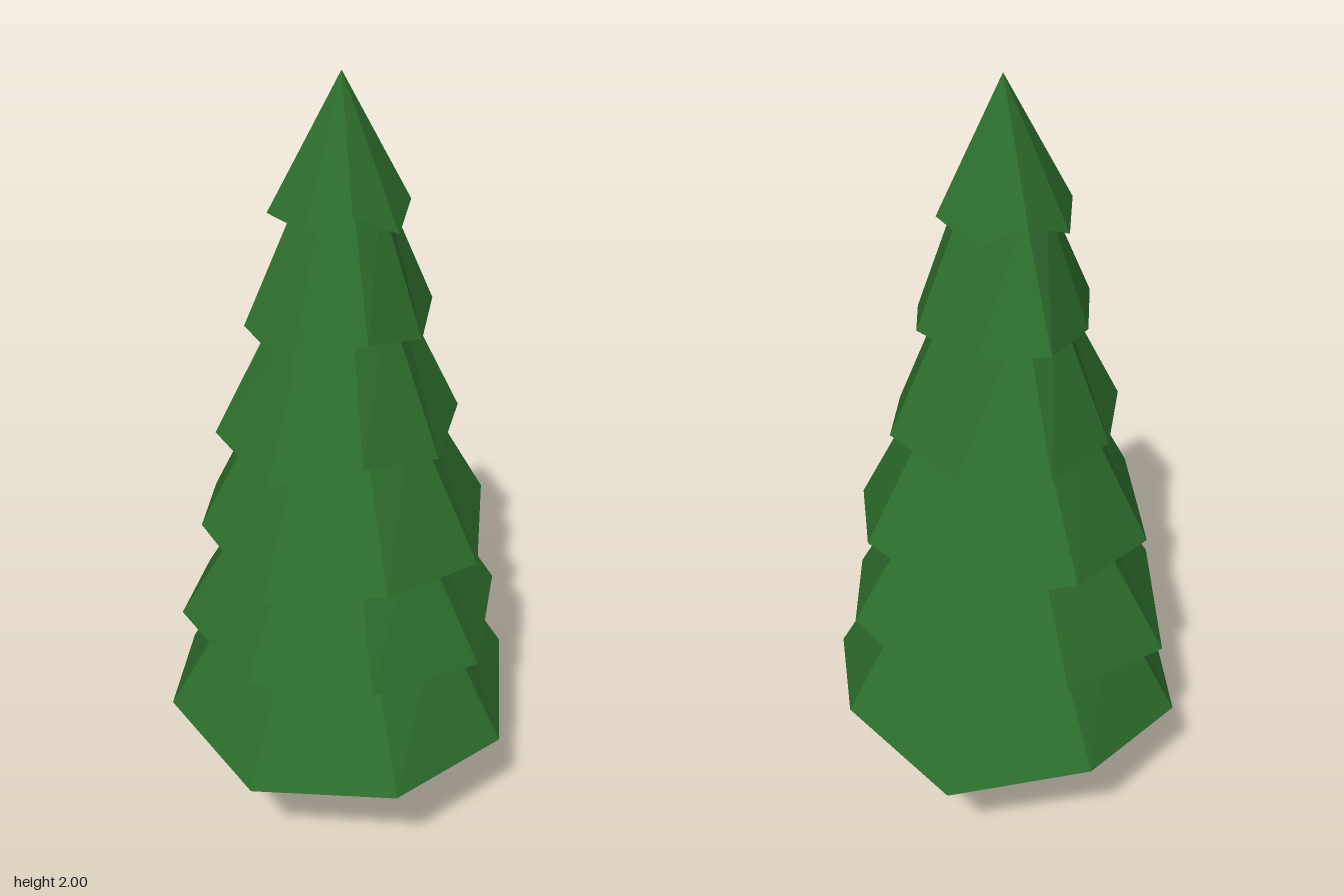
import * as THREE from 'three';

// Flat-shaded frustum with a zigzag lower rim, a hollow underside and an optional pointed top.
// rim: lower corners, crown: upper corners (or a single apex), hub: centre of the hollow underside.
function skirt(rim, crown, hub) {
  const pos = [];
  const tri = (...pts) => pts.forEach((p) => pos.push(p.x, p.y, p.z));
  const n = rim.length;
  for (let i = 0; i < n; i++) {
    const j = (i + 1) % n;
    const a = rim[i], b = rim[j];
    if (crown.length === 1) {
      tri(a, crown[0], b);
    } else {
      tri(a, crown[i], b);
      tri(b, crown[i], crown[j]);
    }
    tri(a, b, hub);
  }
  const geometry = new THREE.BufferGeometry();
  geometry.setAttribute('position', new THREE.Float32BufferAttribute(pos, 3));
  geometry.computeVertexNormals();
  return geometry;
}

const polar = (r, angle, y) =>
  new THREE.Vector3(r * Math.cos(angle), y, r * Math.sin(angle));

export function createModel() {
  const tree = new THREE.Group();
  tree.name = 'pineTree';
  const green = new THREE.MeshStandardMaterial({ color: 0x2d6e2d, flatShading: true, side: THREE.DoubleSide });
  const brown = new THREE.MeshStandardMaterial({ color: 0x5c3015, flatShading: true, side: THREE.DoubleSide });

  const add = (name, geometry, material) => {
    const mesh = new THREE.Mesh(geometry, material);
    mesh.name = name;
    tree.add(mesh);
  };

  // Trunk: five-pointed star section with a notched foot
  const foot = [], head = [];
  for (let i = 0; i < 10; i++) {
    const angle = Math.PI / 4 + (i * Math.PI) / 5;
    const notch = i % 2;
    foot.push(polar(notch ? 0.055 : 0.076, angle, notch ? 0.02 : 0));
    head.push(polar(notch ? 0.055 : 0.072, angle, 0.55));
  }
  add('trunk', skirt(foot, head, new THREE.Vector3(0, 0.03, 0)), brown);

  // Branch tiers, bottom to top: eight corner radii each, from +x round towards +z.
  // y: height of a low corner at radius r; topY/topR: upper ring; hollow: depth of the underside.
  const tiers = [
    { y: 0.31, r: 0.46, topY: 0.65, topR: 0.277, hollow: 0.19, radii: [0.46, 0.48, 0.465, 0.455, 0.465, 0.465, 0.47, 0.445] },
    { y: 0.565, r: 0.41, topY: 0.92, topR: 0.215, hollow: 0.16, radii: [0.41, 0.41, 0.4, 0.41, 0.437, 0.42, 0.417, 0.4] },
    { y: 0.83, r: 0.375, topY: 1.2, topR: 0.19, hollow: 0.15, radii: [0.375, 0.38, 0.38, 0.355, 0.37, 0.375, 0.37, 0.37] },
    { y: 1.115, r: 0.277, topY: 1.48, topR: 0.13, hollow: 0.12, radii: [0.277, 0.277, 0.3, 0.306, 0.272, 0.3, 0.277, 0.288] },
    { y: 1.4, r: 0.21, topY: 1.72, topR: 0.1, hollow: 0.1, radii: [0.21, 0.212, 0.24, 0.233, 0.205, 0.233, 0.21, 0.223] },
    { y: 1.655, r: 0.156, topY: 2, topR: 0, hollow: 0.08, radii: [0.156, 0.135, 0.14, 0.17, 0.161, 0.146, 0.156, 0.16] },
  ];

  tiers.forEach((t, k) => {
    // Every second tier is turned slightly
    const turn = k % 2 ? THREE.MathUtils.degToRad(6) : 0;
    const rim = [], crown = [];
    t.radii.forEach((r, i) => {
      const angle = turn + (i * Math.PI) / 4;
      // Longer corners droop; every second corner is lifted
      rim.push(polar(r, angle, t.y - (r - t.r) + (i % 2 ? 0.04 : 0)));
      crown.push(polar(t.topR, angle, t.topY));
    });
    const top = t.topR > 0 ? crown : [new THREE.Vector3(0, t.topY, 0)];
    add(`branchTier${k + 1}`, skirt(rim, top, new THREE.Vector3(0, t.y + t.hollow, 0)), green);
  });

  return tree;
}
